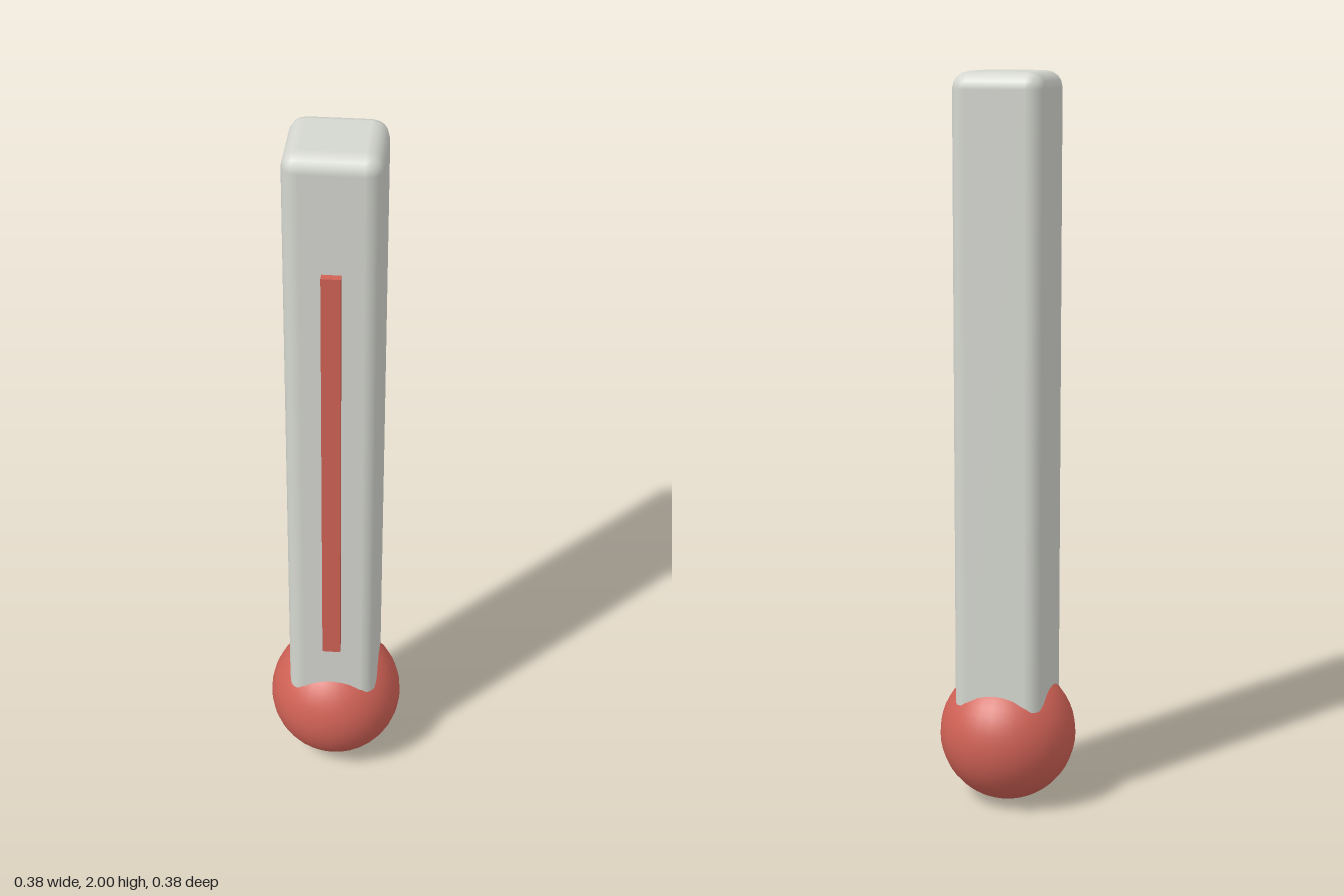
import * as THREE from 'three';
import { RoundedBoxGeometry } from 'three/addons/geometries/RoundedBoxGeometry.js';

export function createModel() {
  const group = new THREE.Group();
  const red = new THREE.MeshStandardMaterial({ name: 'red', color: 0xcf6155 });
  const grey = new THREE.MeshStandardMaterial({ name: 'pale grey', color: 0xd4d6cf });

  const add = (name, geometry, material, y, z = 0) => {
    const mesh = new THREE.Mesh(geometry, material);
    mesh.name = name;
    mesh.position.set(0, y, z);
    group.add(mesh);
  };

  // Round bulb at the foot
  add('bulb', new THREE.SphereGeometry(0.189, 32, 24), red, 0.189);

  // Square tube with softened edges, its lower end sunk into the bulb
  const bottom = 0.2, top = 2;
  add('tube', new RoundedBoxGeometry(0.25, top - bottom, 0.25, 2, 0.045), grey, (top + bottom) / 2);

  // Raised liquid column on the front face
  add('liquidColumn', new THREE.BoxGeometry(0.05, 1.22, 0.047), red, 1.076, 0.1225);

  return group;
}
